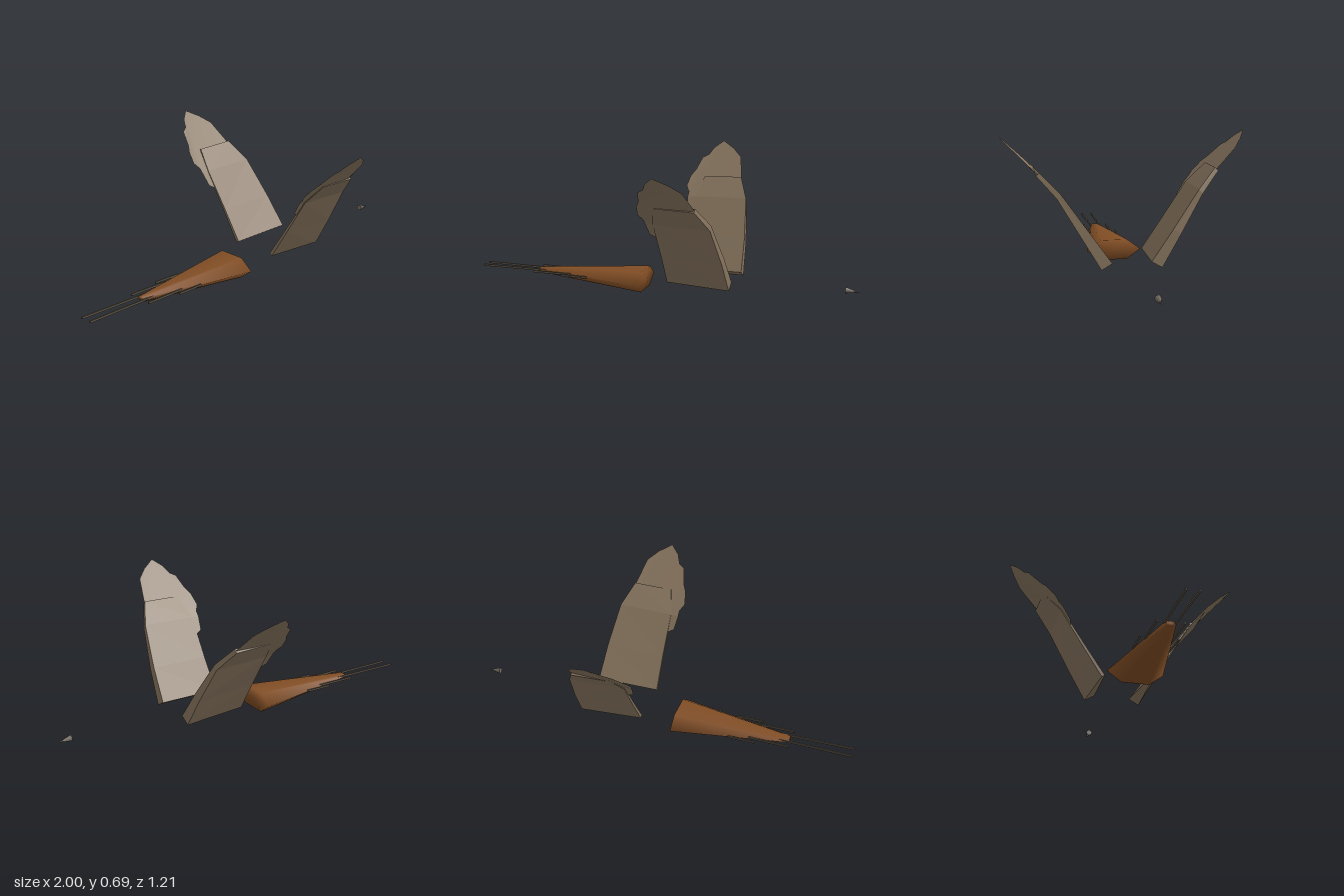
import * as THREE from 'three';
import { mergeVertices } from 'three/addons/utils/BufferGeometryUtils.js';

const mat = (name, color, side = THREE.FrontSide) => {
  const m = new THREE.MeshStandardMaterial({ color, side });
  m.name = name;
  return m;
};

// Wing sections from root to tip: centre z, leading x, trailing x, leading half thickness (z, y)
const SECTIONS = [
  [0.12, 0.39, 0.07, 0.026, 0.015],
  [0.22, 0.378, 0.072, 0.019, 0.012],
  [0.34, 0.35, 0.07, 0.009, 0.011],
  [0.43, 0.30, 0.1, 0.008, 0.008],
];

// Height of the wing's middle surface at a distance z from the body
const wingY = (z) => (z < 0.34 ? 0.09 + (z - 0.12) * 1.53
  : z < 0.43 ? 0.427 + (z - 0.34) * 1.08
    : 0.524 + (z - 0.43) * 0.97);

// Tapered solid wing, thick at the leading edge
function wingSolid(side) {
  const rings = SECTIONS.map(([z, lead, trail, dz, dy]) => {
    const y = wingY(z), t = 0.3;
    return [
      [lead, y + dy, z - dz], [lead, y - dy, z + dz],
      [trail, y - dy * t, z + dz * t], [trail, y + dy * t, z - dz * t],
    ];
  });
  const pos = [];
  const tri = (a, b, c) => (side > 0 ? [a, b, c] : [a, c, b])
    .forEach(([x, y, z]) => pos.push(x, y, z * side));
  const quad = (a, b, c, d) => { tri(a, b, c); tri(a, c, d); };
  for (let i = 0; i < rings.length - 1; i++) {
    for (let j = 0; j < 4; j++) {
      const k = (j + 1) % 4;
      quad(rings[i][j], rings[i + 1][j], rings[i + 1][k], rings[i][k]);
    }
  }
  quad(...rings[0]);
  quad(...[...rings[rings.length - 1]].reverse());
  const g = new THREE.BufferGeometry();
  g.setAttribute('position', new THREE.Float32BufferAttribute(pos, 3));
  g.computeVertexNormals();
  return g;
}

// Flat feather sheet: an outline in (x, z) lifted onto the wing's middle surface
function featherSheet(outline, side) {
  const shape = new THREE.Shape(outline.map(([x, z]) => new THREE.Vector2(x, z * side)));
  const g = new THREE.ShapeGeometry(shape);
  const p = g.attributes.position;
  for (let i = 0; i < p.count; i++) {
    const z = p.getY(i);
    p.setXYZ(i, p.getX(i), wingY(Math.abs(z)), z);
  }
  // Turn the faces upwards
  const index = g.index.array;
  for (let i = 0; i < index.length; i += 3) {
    [index[i], index[i + 1]] = [index[i + 1], index[i]];
  }
  g.computeVertexNormals();
  return g;
}

const TRAILING = [[0.1, 0.28], [0.07, 0.29], [0.04, 0.3], [0.03, 0.34], [0.1, 0.34]];
const TIP = [
  [0.03, 0.34], [0.03, 0.36], [0.01, 0.385], [0.02, 0.43], [0.04, 0.46], [0.06, 0.52],
  [0.09, 0.535], [0.11, 0.57], [0.155, 0.605], [0.22, 0.57], [0.27, 0.53], [0.3, 0.43], [0.3, 0.34],
];

export function createModel() {
  const root = new THREE.Group();
  root.name = 'bird';
  const wingMat = mat('feather tan', 0x83715b, THREE.DoubleSide);
  const tailMat = mat('tail brown', 0x804d24);
  const quillMat = mat('quill dark', 0x5e5448);
  const beakMat = mat('beak grey', 0x6e675e);

  const add = (parent, name, geometry, material) => {
    const m = new THREE.Mesh(geometry, material);
    m.name = name;
    parent.add(m);
    return m;
  };

  // Wings
  for (const side of [1, -1]) {
    const wing = new THREE.Group();
    wing.name = side > 0 ? 'frontWing' : 'backWing';
    add(wing, 'wingSolid', wingSolid(side), wingMat);
    add(wing, 'trailingFeathers', featherSheet(TRAILING, side), wingMat);
    add(wing, 'tipFeathers', featherSheet(TIP, side), wingMat);
    root.add(wing);
  }

  // Flattened six-sided tail, softly shaded over its ends
  let tail = new THREE.CylinderGeometry(0.14, 0.028, 0.59, 6);
  tail.deleteAttribute('normal');
  tail.deleteAttribute('uv');
  tail = mergeVertices(tail);
  tail.rotateZ(-Math.PI / 2);
  tail.scale(1, 0.43, 1);
  tail.translate(-0.385, 0.0525, 0);
  tail.computeVertexNormals();
  add(root, 'tail', tail, tailMat);

  // Tail quills in mirrored pairs: start x, end x, z
  for (const [x0, x1, z] of [[-1, -0.6, 0.026], [-0.69, -0.48, 0.061], [-0.52, -0.38, 0.087]]) {
    for (const side of [1, -1]) {
      const quill = add(root, 'tailQuill', new THREE.BoxGeometry(x1 - x0, 0.01, 0.007), quillMat);
      quill.position.set((x0 + x1) / 2, 0.056, z * side);
      quill.rotation.y = side * 0.015;
    }
  }

  // Beak
  const beak = new THREE.ConeGeometry(0.016, 0.07, 8);
  beak.rotateZ(-Math.PI / 2 - 0.1);
  add(root, 'beak', beak, beakMat).position.set(0.965, 0.087, 0);

  return root;
}
